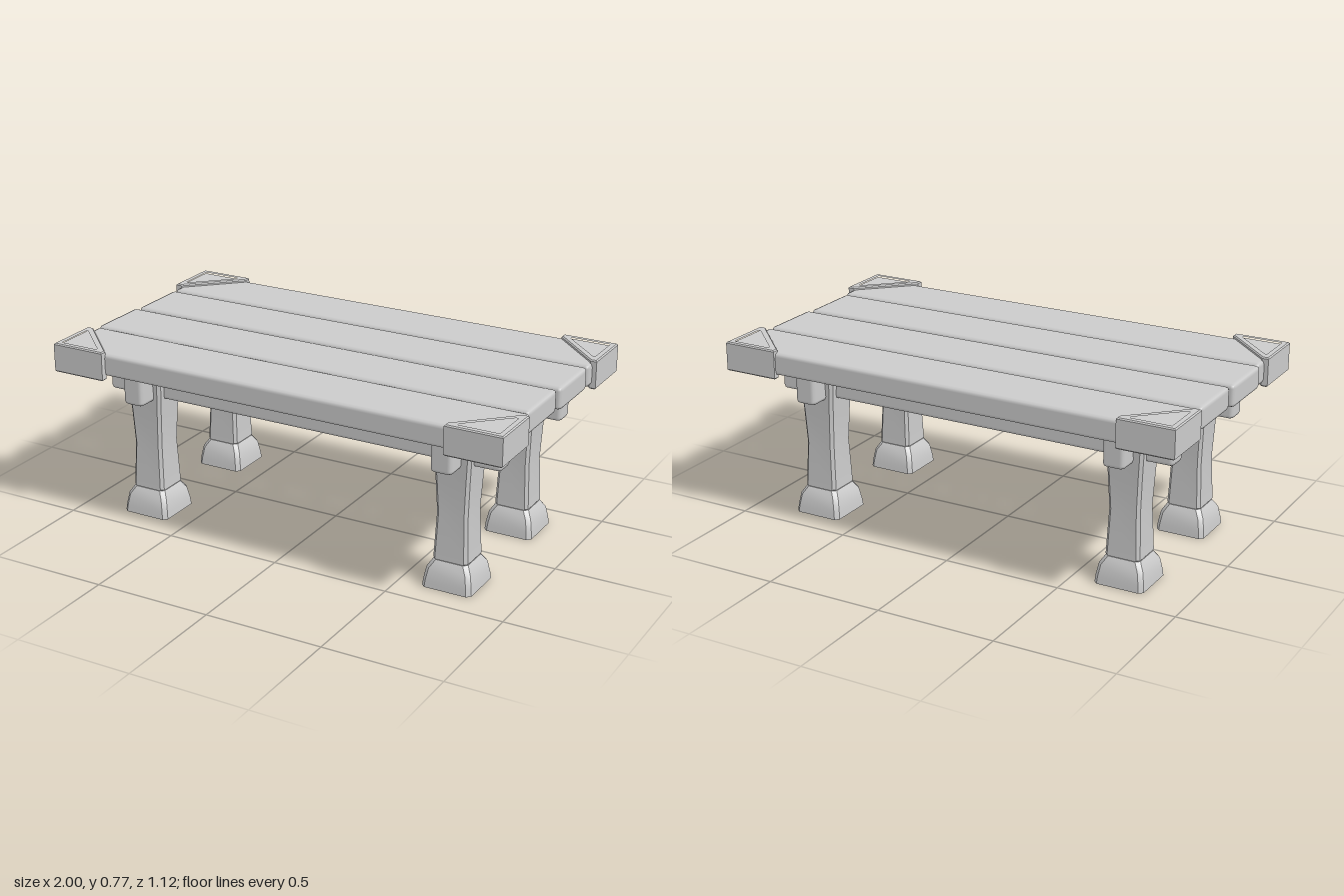
import * as THREE from 'three';
import { toCreasedNormals } from 'three/addons/utils/BufferGeometryUtils.js';
import { RoundedBoxGeometry } from 'three/addons/geometries/RoundedBoxGeometry.js';

const material = new THREE.MeshStandardMaterial({ color: 0xcccccc });

function add(parent, name, geometry, x = 0, y = 0, z = 0) {
  const mesh = new THREE.Mesh(geometry, material);
  mesh.name = name;
  mesh.position.set(x, y, z);
  parent.add(mesh);
  return mesh;
}

// Square post with chamfered corners; profile holds [half width, height] pairs
function squarePost(profile, chamfer) {
  const points = profile.map(([r, y]) => new THREE.Vector2(r, y));
  const geometry = new THREE.LatheGeometry(points, 8, Math.PI / 8);
  const pos = geometry.attributes.position;
  for (let i = 0; i < pos.count; i++) {
    const x = pos.getX(i), z = pos.getZ(i), r = Math.hypot(x, z);
    if (r < 1e-5) continue;
    const snap = (v) => Math.sign(v) * (Math.abs(v) > r * 0.7 ? r : r - chamfer);
    pos.setX(i, snap(x));
    pos.setZ(i, snap(z));
  }
  return toCreasedNormals(geometry, 0.5);
}

// Triangular outline in the xz plane, pulled in by an inset
function cornerPoints(inset) {
  const far = 1 - inset, side = 0.56 - inset, tip = 0.027 - inset * 0.5;
  const x0 = 0.763 + inset * 2, z0 = 0.328 + inset * 2;
  return [[far, side], [x0, side], [x0, side - tip], [far - tip, z0], [far, z0]]
    .map(([x, z]) => new THREE.Vector2(x, -z));
}

function extrudeUp(shape, height, bevel) {
  const geometry = new THREE.ExtrudeGeometry(shape, {
    depth: height - 2 * bevel, bevelEnabled: bevel > 0, bevelSize: bevel,
    bevelThickness: bevel, bevelOffset: -bevel, bevelSegments: 1,
  });
  geometry.rotateX(-Math.PI / 2);
  geometry.translate(0, bevel, 0);
  return geometry;
}

export function createModel() {
  const table = new THREE.Group();
  table.name = 'table';

  // Table top: four planks, slightly staggered lengthwise
  const planks = [[-0.42, 0.262, 0], [-0.147, 0.268, 0], [0.133, 0.268, -0.01], [0.406, 0.265, 0]];
  for (const [z, width, x] of planks) {
    add(table, 'plank', new RoundedBoxGeometry(1.965, 0.096, width, 1, 0.017), x, 0.714, z);
  }

  // Long rails and cross rails under the top
  for (const s of [-1, 1]) {
    add(table, 'longRail', new RoundedBoxGeometry(1.79, 0.145, 0.092, 1, 0.018), 0, 0.592, s * 0.285);
    add(table, 'crossRail', new RoundedBoxGeometry(0.092, 0.147, 0.9, 1, 0.018), s * 0.7, 0.591, 0);
  }

  // Waisted legs on flared feet
  const legGeometry = squarePost([
    [0, 0.1], [0.065, 0.1], [0.074, 0.118], [0.066, 0.31], [0.073, 0.46], [0.088, 0.668], [0, 0.668],
  ], 0.012);
  const footGeometry = squarePost([
    [0, 0], [0.106, 0], [0.103, 0.03], [0.094, 0.08], [0.074, 0.113], [0, 0.113],
  ], 0.016);
  for (const x of [-0.705, 0.705]) {
    for (const z of [-0.287, 0.287]) {
      add(table, 'leg', legGeometry, x, 0, z);
      add(table, 'foot', footGeometry, x, 0, z);
    }
  }

  // Corner guards: a raised triangular rim around a sunken panel
  const rim = new THREE.Shape(cornerPoints(0));
  rim.holes.push(new THREE.Path(cornerPoints(0.02)));
  const rimGeometry = extrudeUp(rim, 0.123, 0.005);
  const panelGeometry = extrudeUp(new THREE.Shape(cornerPoints(0.01)), 0.1, 0);
  for (const [x, z, turn] of [[1, 1, 0], [-1, -1, Math.PI]]) {
    for (const mirrored of [false, true]) {
      const guard = new THREE.Group();
      guard.name = 'cornerGuard';
      add(guard, 'rim', rimGeometry, 0, 0.651, 0);
      add(guard, 'panel', panelGeometry, 0, 0.663, 0);
      guard.rotation.y = turn;
      if (mirrored) guard.scale.x = -1;
      table.add(guard);
    }
  }
  return table;
}
